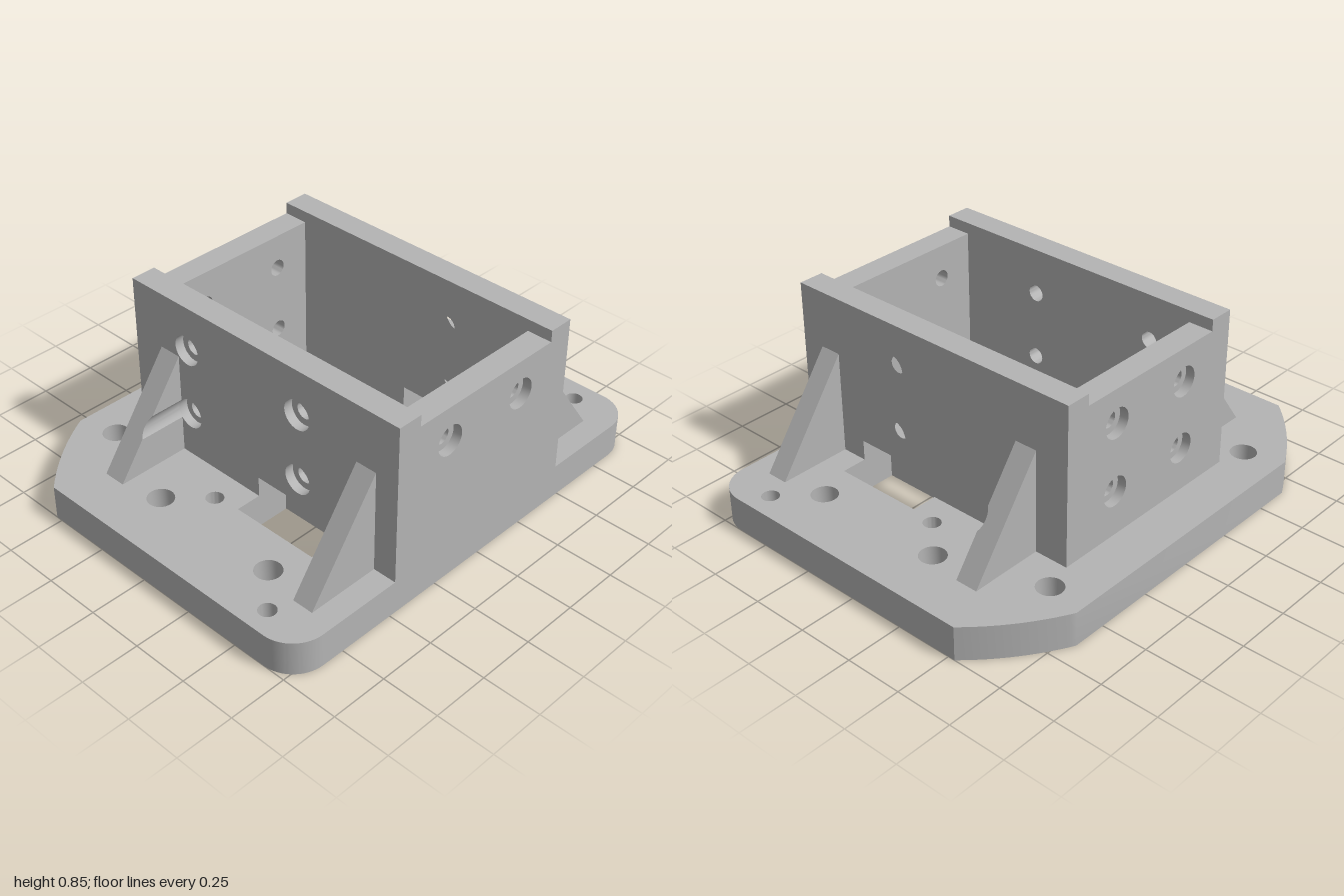
import * as THREE from 'three';
import { toCreasedNormals } from 'three/addons/utils/BufferGeometryUtils.js';

const grey = new THREE.MeshStandardMaterial({ color: 0xb4b4b4 });
grey.name = 'machined grey';

const BASE = 0.15;                       // plate thickness
const BORE = 0.036, COUNTERBORE = 0.065; // screw hole radii
const BORE_DEPTH = 0.04;

const shapeOf = (pts) => new THREE.Shape(pts.map(([x, y]) => new THREE.Vector2(x, y)));
const circle = (x, y, r) => new THREE.Path().absarc(x, y, r, 0, Math.PI * 2, true);
const extrude = (shape, depth) =>
  new THREE.ExtrudeGeometry(shape, { depth, bevelEnabled: false, curveSegments: 16 });

function mesh(geometry, name) {
  const m = new THREE.Mesh(toCreasedNormals(geometry, 0.5), grey);
  m.name = name;
  return m;
}

function roundedHole(x0, x1, y0, y1, r) {
  const p = new THREE.Path();
  p.absarc(x1 - r, y1 - r, r, 0, Math.PI / 2);
  p.absarc(x0 + r, y1 - r, r, Math.PI / 2, Math.PI);
  p.absarc(x0 + r, y0 + r, r, Math.PI, Math.PI * 1.5);
  p.absarc(x1 - r, y0 + r, r, Math.PI * 1.5, Math.PI * 2);
  p.closePath();
  return p;
}

// Base plate: bowed corners at -x, filleted corners at +x
function basePlate() {
  const s = new THREE.Shape();
  s.moveTo(-0.53, -1);
  s.lineTo(0.65, -1);
  s.absarc(0.65, -0.85, 0.15, -Math.PI / 2, 0);
  s.absarc(0.65, 0.85, 0.15, 0, Math.PI / 2);
  s.lineTo(-0.53, 1);
  s.quadraticCurveTo(-0.697, 0.849, -0.8, 0.65);
  s.lineTo(-0.8, -0.65);
  s.quadraticCurveTo(-0.697, -0.849, -0.53, -1);

  s.holes.push(roundedHole(-0.355, 0.55, -0.25, 0.25, 0.1));
  const drilled = [
    [-0.63, 0.6, 0.056], [-0.18, 0.75, 0.056], [0.42, 0.75, 0.056],
    [-0.03, 0.603, 0.037], [0.57, 0.9, 0.037],
  ];
  for (const side of [1, -1]) {
    for (const [x, z, r] of drilled) s.holes.push(circle(x, side * z, r));
    const slot = [[0.085, 0.33], [0.485, 0.33], [0.485, 0.588], [0.085, 0.588]];
    s.holes.push(new THREE.Path(slot.map(([x, z]) => new THREE.Vector2(x, side * z))));
  }
  return mesh(extrude(s, BASE).rotateX(-Math.PI / 2), 'basePlate');
}

// Wall facing local +z, with counterbored screw holes on the outer face
function wall(outline, holes, thickness, name) {
  const group = new THREE.Group();
  group.name = name;
  const layer = (r, z, depth, layerName) => {
    const s = shapeOf(outline);
    for (const [x, y] of holes) s.holes.push(circle(x, y, r));
    group.add(mesh(extrude(s, depth).translate(0, 0, z), layerName));
  };
  layer(BORE, 0, thickness - BORE_DEPTH, 'wallInner');
  layer(COUNTERBORE, thickness - BORE_DEPTH, BORE_DEPTH, 'wallOuter');
  return group;
}

// Triangular rib; its far end is pulled back with height to form the slope
function rib(x0, x1, s, notched) {
  const pts = [[x0, BASE], [x1, BASE]];
  if (notched) {
    // clearance for the counterbore beside the rib
    const cx = -0.3, cy = 0.35;
    const half = Math.acos((cx - x1) / COUNTERBORE);
    for (let i = 0; i <= 10; i++) {
      const a = Math.PI + half - (2 * half * i) / 10;
      pts.push([cx + COUNTERBORE * Math.cos(a), cy + COUNTERBORE * Math.sin(a)]);
    }
  }
  pts.push([x1, 0.6], [x0, 0.6]);
  const g = extrude(shapeOf(pts.map(([x, y]) => [s * x, y])), 1);
  const pos = g.attributes.position;
  for (let i = 0; i < pos.count; i++) {
    const reach = (0.325 * (0.6 - pos.getY(i))) / 0.45;
    pos.setZ(i, 0.475 + pos.getZ(i) * reach);
  }
  return mesh(g, 'rib');
}

// Long wall with its two ribs; s = -1 gives the mirrored one at the back
function longSide(s) {
  const group = new THREE.Group();
  group.name = s > 0 ? 'frontSide' : 'backSide';
  const outline = [
    [-0.6, BASE], [0.085, BASE], [0.085, 0.24], [0.485, 0.24],
    [0.485, BASE], [0.8, BASE], [0.8, 0.85], [-0.6, 0.85],
  ].map(([x, y]) => [s * x, y]);
  const holes = [[-0.3, 0.35], [0.3, 0.35], [-0.3, 0.65], [0.3, 0.65]];
  const w = wall(outline, holes, 0.11, 'longWall');
  w.position.z = 0.365;
  group.add(w, rib(-0.45, -0.35, s, true), rib(0.6, 0.695, s, false));
  if (s < 0) group.rotation.y = Math.PI;
  return group;
}

// Lower end wall between the two long walls
function endWall(s, rows, name) {
  const outline = [[-0.365, BASE], [0.365, BASE], [0.365, 0.8], [-0.365, 0.8]];
  const holes = rows.flatMap((y) => [[-0.2, y], [0.2, y]]);
  const w = wall(outline, holes, 0.11, name);
  w.rotation.y = (s * Math.PI) / 2;
  w.position.x = s > 0 ? 0.69 : -0.49;
  return w;
}

export function createModel() {
  const model = new THREE.Group();
  model.name = 'mountingBracket';
  model.add(
    basePlate(),
    longSide(1),
    longSide(-1),
    endWall(1, [0.65], 'leftEndWall'),
    endWall(-1, [0.35, 0.65], 'rightEndWall'),
  );
  return model;
}
